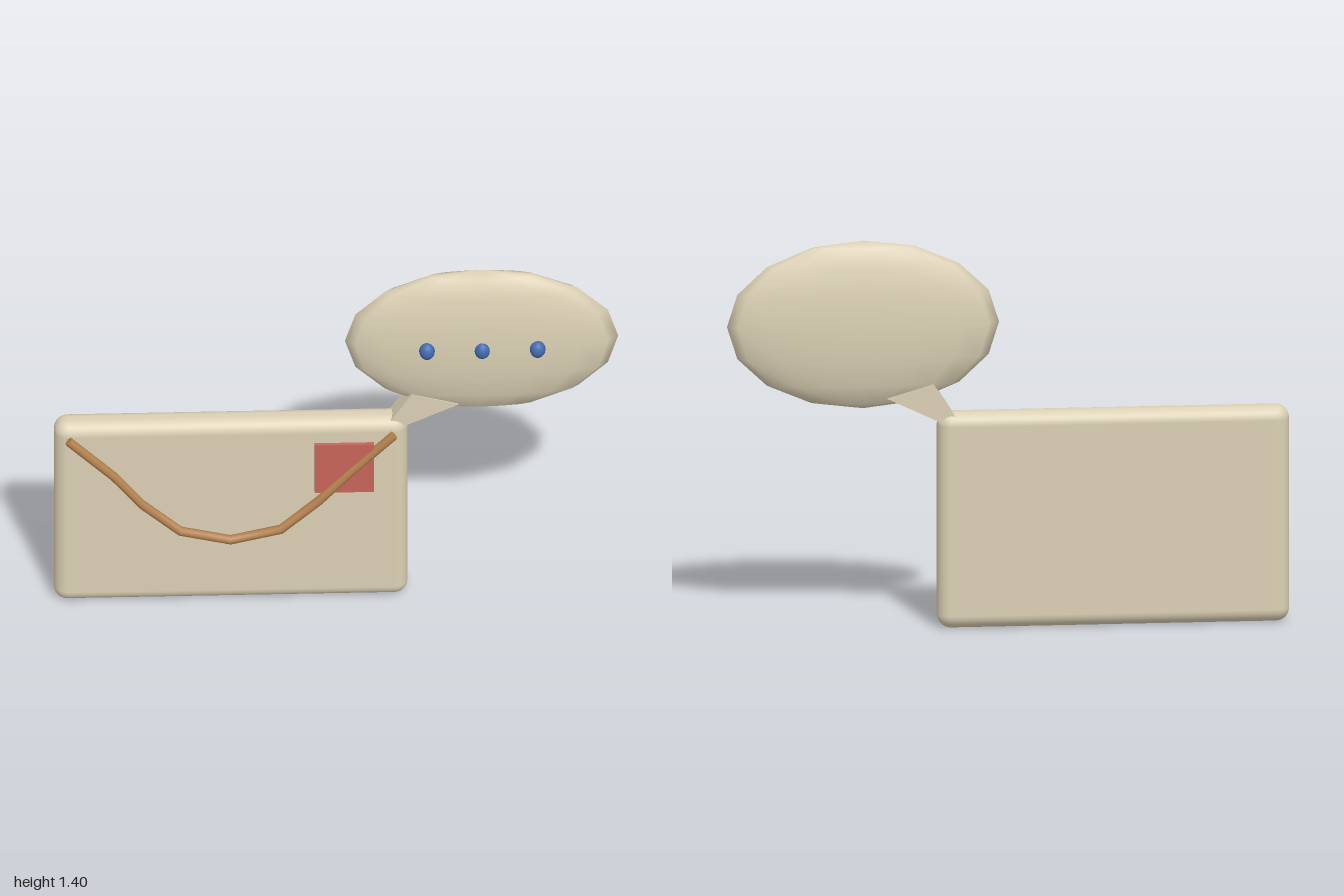
import * as THREE from 'three';
import { RoundedBoxGeometry } from 'three/addons/geometries/RoundedBoxGeometry.js';

const material = (name, color) => {
  const m = new THREE.MeshStandardMaterial({ color });
  m.name = name;
  return m;
};

export function createModel() {
  const model = new THREE.Group();
  const cream = material('cream', 0xdbd0b4);
  const red = material('red', 0xc8645a);
  const brown = material('brown', 0xb5824f);
  const blue = material('blue', 0x426cae);
  const midZ = -0.013;

  const add = (name, geometry, mat, x = 0, y = 0, z = 0, parent = model) => {
    const mesh = new THREE.Mesh(geometry, mat);
    mesh.name = name;
    mesh.position.set(x, y, z);
    parent.add(mesh);
    return mesh;
  };

  // Rounded slab
  add('panel', new RoundedBoxGeometry(1.25, 0.78, 0.11, 4, 0.048), cream, -0.375, 0.39, midZ);

  // Flattened speech bubble
  const bubble = new THREE.SphereGeometry(1, 16, 8);
  bubble.scale(0.483, 0.303, 0.076);
  add('bubble', bubble, cream, 0.512, 1.1, midZ);

  // Tapered tail between bubble and panel
  const tail = new THREE.Shape([
    [0.18, 0.755], [0.215, 0.735], [0.43, 0.837], [0.265, 0.886],
  ].map(([x, y]) => new THREE.Vector2(x, y)));
  add('bubbleTail', new THREE.ExtrudeGeometry(tail, { depth: 0.076, bevelEnabled: false }),
    cream, 0, 0, midZ - 0.038);

  // Three dots on the bubble
  const dot = new THREE.SphereGeometry(1, 16, 12);
  dot.scale(0.028, 0.034, 0.028);
  [0.317, 0.512, 0.708].forEach((x) => add('dot', dot, blue, x, 1.1, 0.056));

  // Square tag
  add('tag', new THREE.BoxGeometry(0.21, 0.21, 0.014), red, 0.025, 0.595, 0.062);

  // Sagging strap, one straight tube section between each pair of points
  const path = new THREE.CatmullRomCurve3([
    [-0.95, 0.73, 0.058], [-0.79, 0.575, 0.063], [-0.69, 0.452, 0.068],
    [-0.555, 0.335, 0.073], [-0.378, 0.295, 0.076], [-0.2, 0.335, 0.073],
    [-0.065, 0.455, 0.068], [0.055, 0.585, 0.063], [0.2, 0.73, 0.058],
  ].map((p) => new THREE.Vector3(...p)));
  path.getPointAt = path.getPoint;
  path.getTangentAt = path.getTangent;
  const strap = new THREE.Group();
  strap.name = 'strap';
  model.add(strap);
  add('strapTube', new THREE.TubeGeometry(path, 8, 0.017, 8), brown, 0, 0, 0, strap);
  [0, 1].forEach((t) => {
    const p = path.getPoint(t);
    const cap = add('strapEnd', new THREE.CircleGeometry(0.017, 8), brown, p.x, p.y, p.z, strap);
    const outward = path.getTangent(t).multiplyScalar(t ? 1 : -1);
    cap.quaternion.setFromUnitVectors(new THREE.Vector3(0, 0, 1), outward);
  });

  return model;
}
